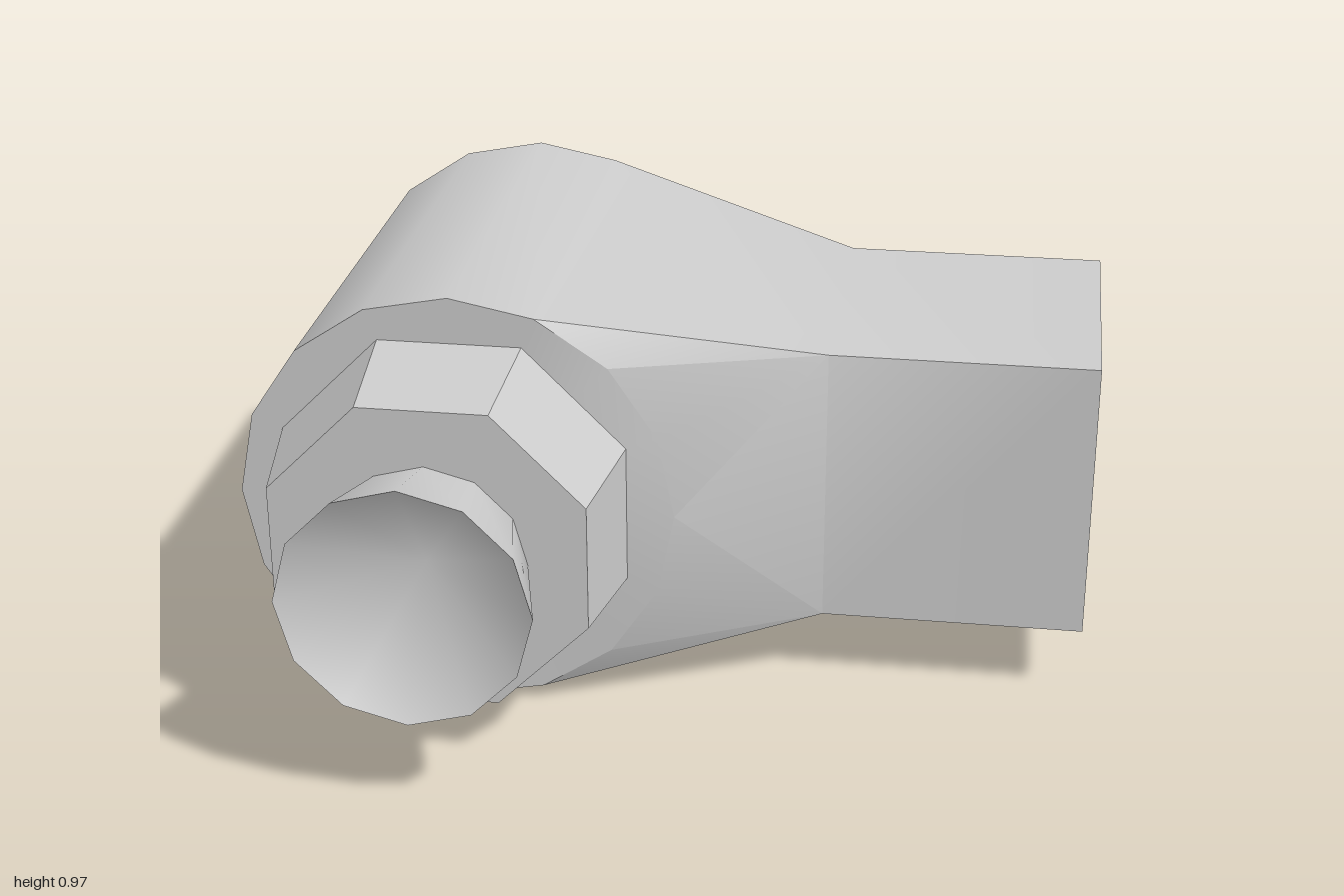
import * as THREE from 'three';
import { mergeVertices, toCreasedNormals } from 'three/addons/utils/BufferGeometryUtils.js';

const CX = -0.45, CY = 0.49;

const grey = (options = {}) => new THREE.MeshStandardMaterial({ color: 0xcccccc, ...options });

function addMesh(parent, name, geometry, material) {
  const mesh = new THREE.Mesh(geometry, material);
  mesh.name = name;
  parent.add(mesh);
}

// 16-sided barrel that tapers into a square arm, as one closed shell
function bodyGeometry() {
  const radius = 0.484, zBarrel = 0.515, zArm = 0.325;
  const rim = (i) => {
    const a = (i * Math.PI) / 8;
    return [CX + radius * Math.cos(a), CY + radius * Math.sin(a), zBarrel];
  };
  const [bottom, top] = [0.17, 0.81];
  const neckLow = [0.345, bottom, zArm], neckHigh = [0.345, top, zArm];
  const endLow = [0.93, bottom, zArm], endHigh = [0.93, top, zArm];

  const positions = [];
  const tri = (...corners) => corners.forEach((c) => positions.push(...c));
  const back = ([x, y, z]) => [x, y, -z];
  const bothSides = (a, b, c) => {
    tri(a, b, c);
    tri(back(a), back(c), back(b));
  };

  // outer wall, running once round the outline
  const outline = [];
  for (let i = 3; i <= 13; i++) outline.push(rim(i));
  outline.push(neckLow, endLow, endHigh, neckHigh);
  outline.forEach((a, i) => {
    const b = outline[(i + 1) % outline.length];
    tri(a, back(a), back(b));
    tri(a, back(b), b);
  });

  // barrel ends
  for (let i = 0; i < 16; i++) bothSides([CX, CY, zBarrel], rim(i), rim(i + 1));

  // tapering cheeks between barrel and arm
  for (let i = -3; i < 3; i++) bothSides(rim(i), i < 0 ? neckLow : neckHigh, rim(i + 1));
  bothSides(rim(0), neckLow, neckHigh);

  // arm sides
  bothSides(neckLow, endLow, endHigh);
  bothSides(neckLow, endHigh, neckHigh);

  const geometry = new THREE.BufferGeometry();
  geometry.setAttribute('position', new THREE.Float32BufferAttribute(positions, 3));
  return toCreasedNormals(geometry, 0.5);
}

// 12-sided surface of revolution about z, smooth all over
function turned(points) {
  const geometry = new THREE.LatheGeometry(points.map(([r, z]) => new THREE.Vector2(r, z)), 12);
  geometry.rotateX(Math.PI / 2);
  geometry.deleteAttribute('uv');
  geometry.deleteAttribute('normal');
  const merged = mergeVertices(geometry);
  merged.computeVertexNormals();
  return merged;
}

// octagonal collar with a flared, hollow nozzle
function nozzleAssembly(name) {
  const group = new THREE.Group();
  group.name = name;
  const collar = new THREE.CylinderGeometry(0.368, 0.411, 0.26, 8, 1, false, Math.PI / 8);
  collar.rotateX(Math.PI / 2).translate(0, 0, 0.645);
  addMesh(group, 'collar', collar, grey({ flatShading: true }));
  addMesh(group, 'nozzleFlare', turned([[0.213, 0.77], [0.27, 1]]), grey());
  addMesh(group, 'nozzleBowl', turned([[0.27, 1], [0, 0.785]]), grey());
  group.position.set(CX, CY, 0);
  return group;
}

export function createModel() {
  const model = new THREE.Group();
  model.name = 'twinNozzleJoint';
  addMesh(model, 'barrelAndArm', bodyGeometry(), grey());
  const front = nozzleAssembly('frontNozzle');
  const rear = nozzleAssembly('rearNozzle');
  rear.rotation.y = Math.PI;
  model.add(front, rear);
  return model;
}
